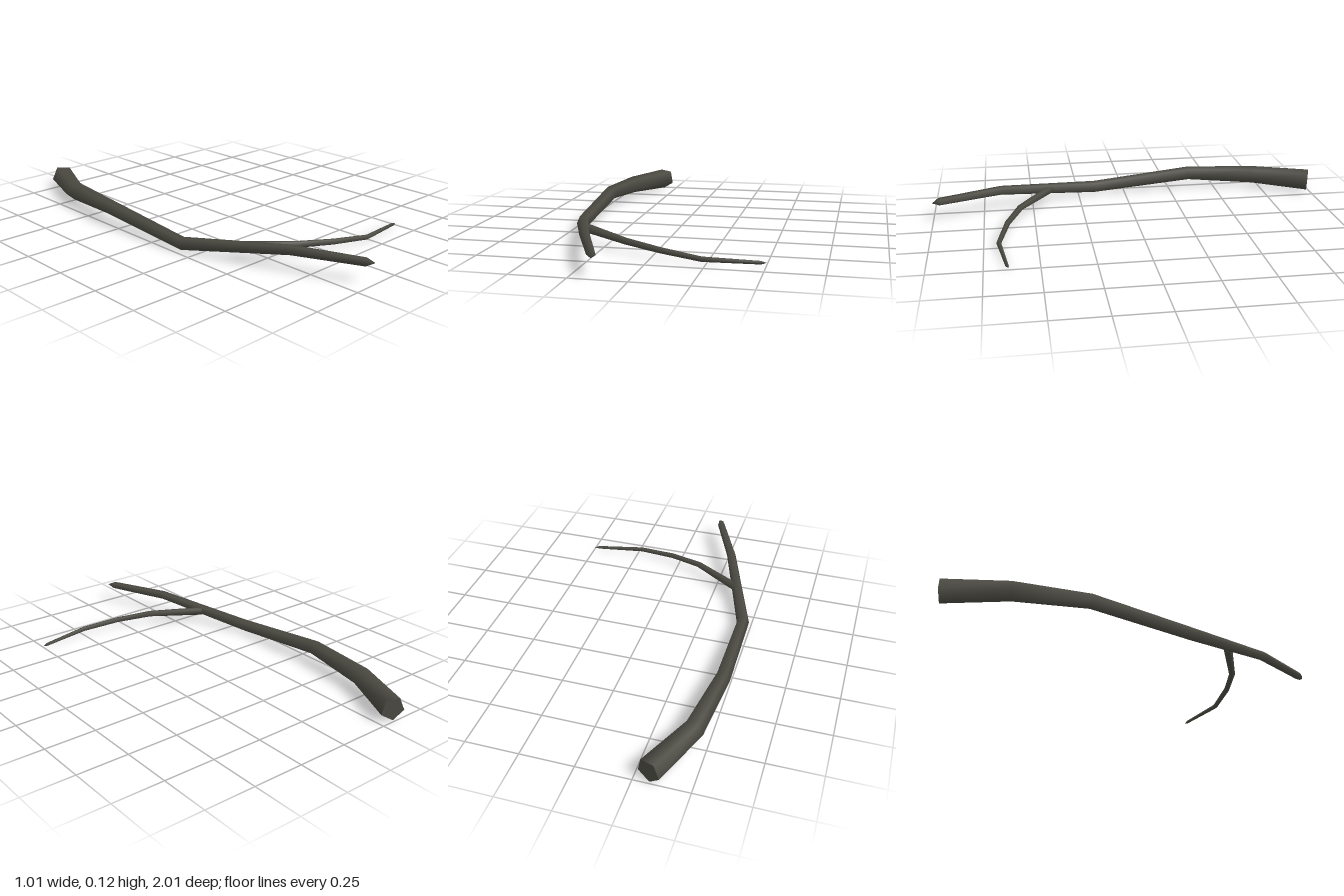
import * as THREE from 'three';

const SIDES = 5;

// Tapered five-sided limb through stations [x, y, z, radius]; the last one closes to a point.
function limb(stations, turn) {
  const pts = stations.map(s => new THREE.Vector3(s[0], s[1], s[2]));
  const up = new THREE.Vector3(0, 1, 0);
  const pos = [], idx = [];
  const last = pts.length - 1;
  for (let i = 0; i < last; i++) {
    const dir = pts[i + 1].clone().sub(pts[i]).normalize();
    if (i > 0) dir.add(pts[i].clone().sub(pts[i - 1]).normalize()).normalize();
    const side = up.clone().cross(dir).normalize();
    const lift = dir.clone().cross(side);
    for (let j = 0; j < SIDES; j++) {
      const a = -Math.PI / 2 + turn + (j / SIDES) * Math.PI * 2;
      const p = pts[i].clone()
        .addScaledVector(side, Math.cos(a) * stations[i][3])
        .addScaledVector(lift, Math.sin(a) * stations[i][3]);
      pos.push(p.x, p.y, p.z);
    }
  }
  const tip = pos.length / 3;
  pos.push(...pts[last].toArray());
  for (let i = 0; i < last; i++) {
    for (let j = 0; j < SIDES; j++) {
      const a = i * SIDES + j, b = i * SIDES + (j + 1) % SIDES;
      if (i === last - 1) idx.push(a, b, tip);
      else idx.push(a, b, a + SIDES, b, b + SIDES, a + SIDES);
    }
  }
  // Flat cut end with its own vertices, so its edge stays sharp
  const cap = pos.length / 3;
  pos.push(...pos.slice(0, SIDES * 3));
  for (let j = 1; j < SIDES - 1; j++) idx.push(cap, cap + j + 1, cap + j);

  const g = new THREE.BufferGeometry();
  g.setAttribute('position', new THREE.Float32BufferAttribute(pos, 3));
  g.setIndex(idx);
  g.computeVertexNormals();
  return g;
}

export function createModel() {
  const group = new THREE.Group();
  group.name = 'fallenBranch';
  const bark = new THREE.MeshStandardMaterial({ color: 0x4b4a42 });
  bark.name = 'darkBark';

  const add = (name, stations, turn) => {
    const mesh = new THREE.Mesh(limb(stations, turn), bark);
    mesh.name = name;
    group.add(mesh);
  };

  // Thick bough, from the cut end to the tip
  add('mainBranch', [
    [-0.315, 0.062, -0.99, 0.058],
    [-0.43, 0.07, -0.71, 0.048],
    [-0.473, 0.082, -0.36, 0.037],
    [-0.46, 0.035, 0.16, 0.032],
    [-0.285, 0.1, 0.66, 0.024],
    [-0.158, 0.1, 0.965, 0.02],
    [-0.14, 0.1, 1.0, 0],
  ], -0.1);

  // Thin side shoot
  add('twig', [
    [-0.362, 0.065, 0.405, 0.022],
    [-0.13, 0.055, 0.57, 0.016],
    [0.04, 0.041, 0.638, 0.014],
    [0.23, 0.023, 0.68, 0.012],
    [0.475, 0.013, 0.646, 0.008],
    [0.5, 0.012, 0.641, 0],
  ], 0);

  return group;
}
